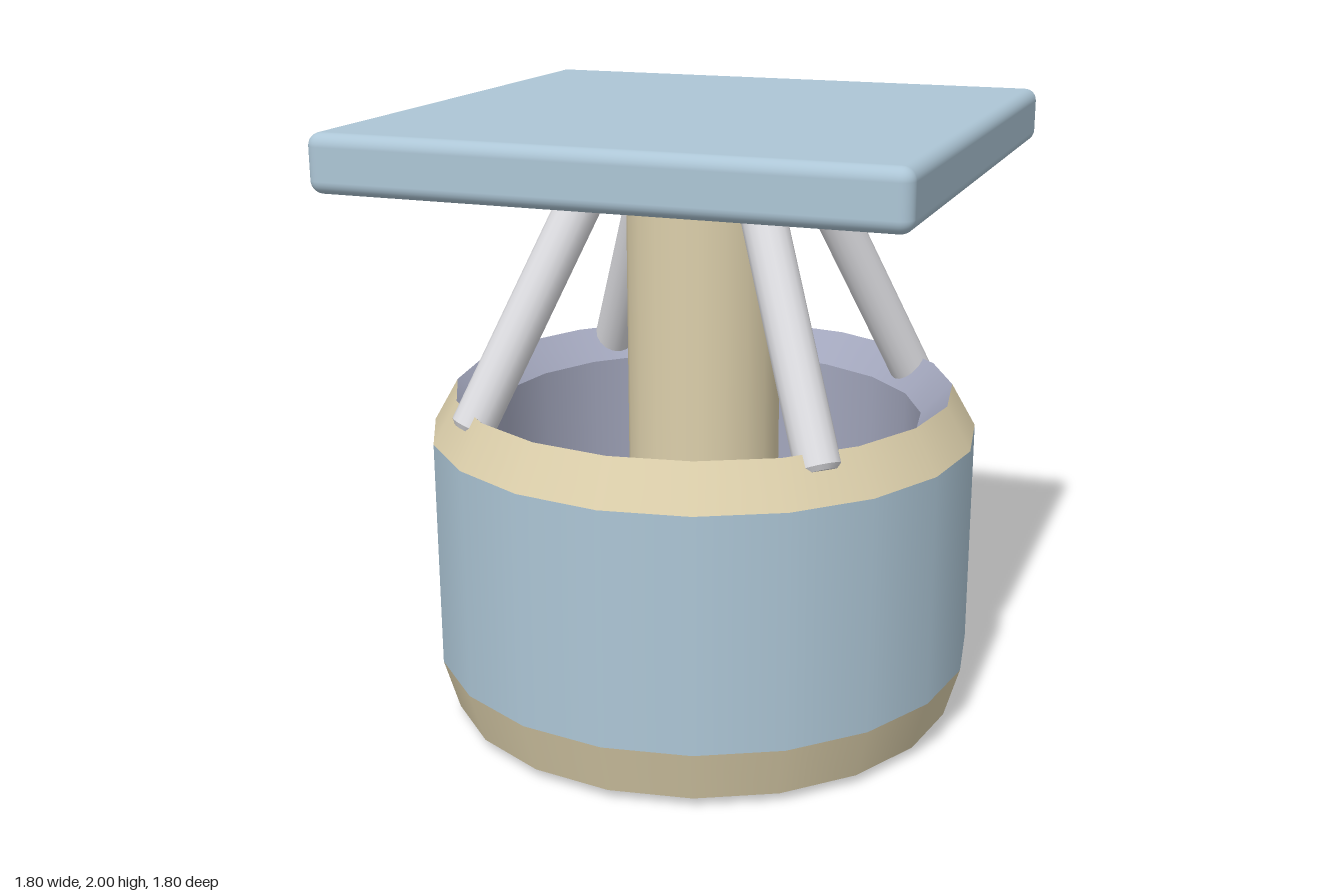
import * as THREE from 'three';
import { RoundedBoxGeometry } from 'three/addons/geometries/RoundedBoxGeometry.js';

const SIDES = 20;

function material(name, color) {
  const m = new THREE.MeshStandardMaterial({ color });
  m.name = name;
  return m;
}

export function createModel() {
  const blue = material('pale blue', 0xadc6d6);
  const tan = material('tan', 0xdccfab);
  const silver = material('silver', 0xdedee2);
  const lavender = material('lavender grey', 0xa3a7bd);
  const orange = material('orange', 0xcf8c47);

  const model = new THREE.Group();
  model.name = 'ventCap';

  function add(name, geometry, mat, parent = model) {
    const mesh = new THREE.Mesh(geometry, mat);
    mesh.name = name;
    parent.add(mesh);
    return mesh;
  }

  // One smooth ring between each pair of profile points, so edges stay sharp
  function turned(name, mat, profile, sides = SIDES) {
    const group = new THREE.Group();
    group.name = name;
    for (let i = 0; i + 1 < profile.length; i++) {
      const pair = profile.slice(i, i + 2).map(([r, y]) => new THREE.Vector2(r, y));
      add(name + 'Ring', new THREE.LatheGeometry(pair, sides), mat, group);
    }
    model.add(group);
    return group;
  }

  // Hollow drum: outer skin runs upward, inner skin runs downward
  turned('baseRim', tan, [[0.75, 0], [0.85, 0.03], [0.9, 0.2]]);
  turned('drumWall', blue, [[0.9, 0.2], [0.9, 0.96]]);
  turned('topRim', tan, [[0.9, 0.96], [0.82, 1.1]]);
  turned('drumLining', lavender, [[0.82, 1.1], [0.72, 1.0], [0.71, 0.07]]);
  turned('baseInnerRim', orange, [[0.71, 0.07], [0.75, 0]]);

  // Slats across the bottom opening, trimmed to the circle
  for (let i = -2; i <= 2; i++) {
    const z = i * 0.29;
    const length = 2 * Math.sqrt(0.7 * 0.7 - z * z);
    const slat = add('slat', new THREE.BoxGeometry(length, 0.04, 0.19), blue);
    slat.position.set(0, 0.11, z);
  }

  // Central column with a bevelled top
  turned('column', tan, [[0, 0.28], [0.2, 0.28], [0.25, 0.34], [0.25, 1.76], [0.21, 1.82], [0, 1.82]]);

  // Four leaning struts with chamfered ends
  const up = new THREE.Vector3(0, 1, 0);
  for (const sx of [-1, 1]) {
    for (const sz of [-1, 1]) {
      const foot = new THREE.Vector3(0.57 * sx, 1.035, 0.57 * sz);
      const head = new THREE.Vector3(0.258 * sx, 1.84, 0.258 * sz);
      const axis = head.clone().sub(foot);
      const len = axis.length();
      const strut = turned('strut', silver,
        [[0, 0], [0.055, 0], [0.07, 0.015], [0.07, len - 0.015], [0.055, len], [0, len]], 16);
      strut.position.copy(foot);
      strut.quaternion.setFromUnitVectors(up, axis.normalize());
    }
  }

  // Square top plate with softened edges
  add('topPlate', new RoundedBoxGeometry(1.8, 0.18, 1.8, 4, 0.04), blue).position.y = 1.91;

  return model;
}
